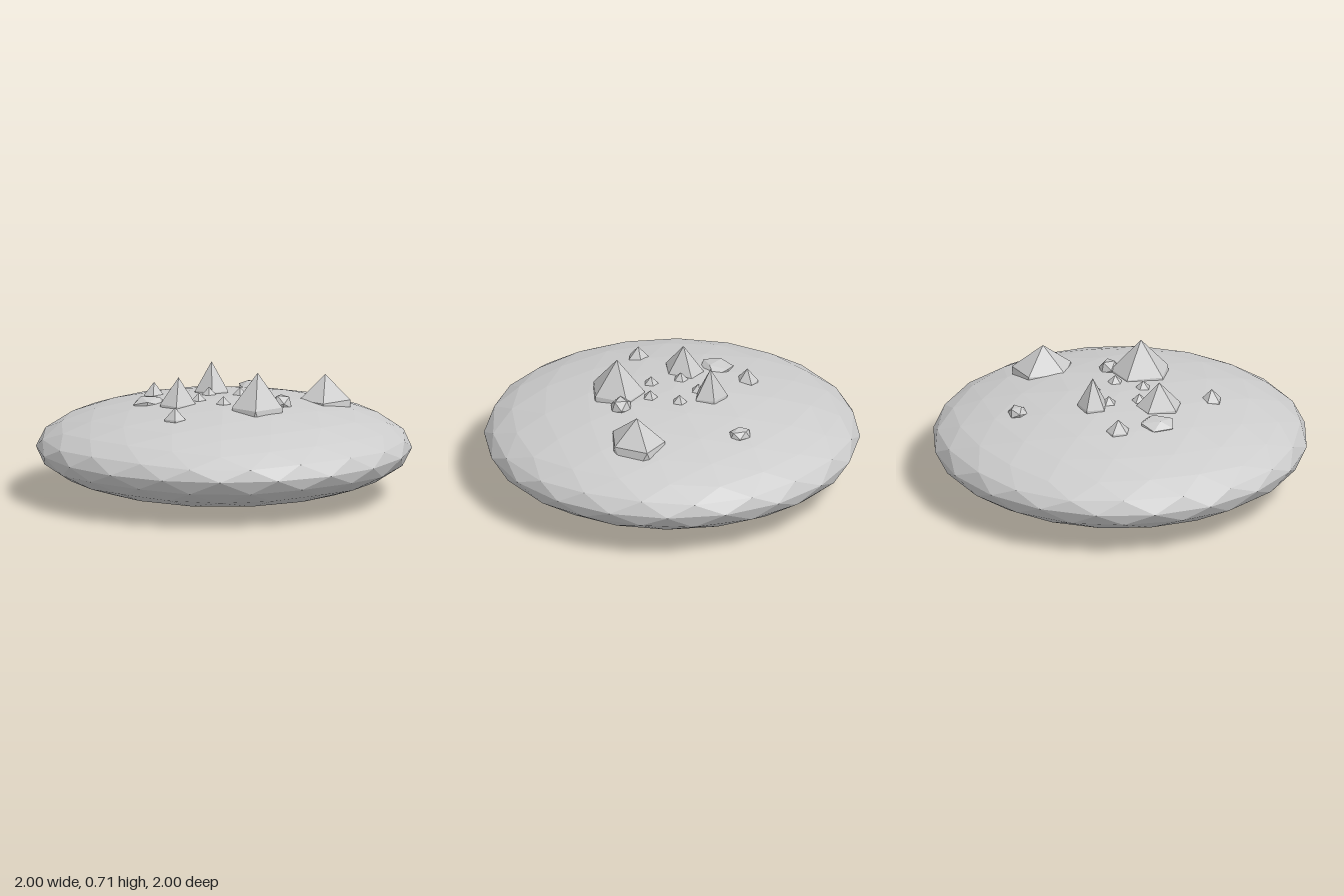
import * as THREE from 'three';

// Icosahedron with one corner straight up, optionally subdivided by midpoints
function poleIcosahedron(levels) {
  const base = new THREE.IcosahedronGeometry(1, 0);
  base.rotateZ(-Math.atan(2 / (1 + Math.sqrt(5))));
  const p = base.getAttribute('position');
  let points = [];
  for (let i = 0; i < p.count; i++) points.push(new THREE.Vector3().fromBufferAttribute(p, i));
  const mid = (a, b) => a.clone().add(b).normalize();
  for (let l = 0; l < levels; l++) {
    const next = [];
    for (let i = 0; i < points.length; i += 3) {
      const [a, b, c] = points.slice(i, i + 3);
      const ab = mid(a, b), bc = mid(b, c), ca = mid(c, a);
      next.push(a, ab, ca, ab, b, bc, ca, bc, c, ab, bc, ca);
    }
    points = next;
  }
  return new THREE.BufferGeometry().setFromPoints(points);
}

export function createModel() {
  const group = new THREE.Group();
  const stone = new THREE.MeshStandardMaterial({ color: 0xcccccc, flatShading: true });
  stone.name = 'pale grey stone';

  function add(name, geometry, center, radii, rotation = [0, 0, 0]) {
    const g = geometry.clone();
    g.rotateX(rotation[0]).rotateY(rotation[1]).rotateZ(rotation[2]);
    g.scale(...radii);
    g.translate(...center);
    g.computeVertexNormals();
    const mesh = new THREE.Mesh(g, stone);
    mesh.name = name;
    group.add(mesh);
  }

  // Flattened faceted body
  add('body', poleIcosahedron(2), [0, 0.265, 0], [1, 0.265, 1]);

  const rock = poleIcosahedron(0);

  // Pointed rocks, half buried: x, apex height, z, radius x, half height, radius z
  const spikes = [
    [0.245, 0.71, 0.16, 0.155, 0.325, 0.182],
    [0.455, 0.625, -0.33, 0.158, 0.235, 0.188],
    [-0.13, 0.685, -0.172, 0.105, 0.28, 0.09],
    [-0.195, 0.66, 0.175, 0.107, 0.25, 0.14],
    [-0.425, 0.57, -0.09, 0.06, 0.12, 0.072],
    [-0.11, 0.557, 0.475, 0.066, 0.11, 0.06],
  ];
  for (const [x, top, z, rx, h, rz] of spikes) {
    add('spikeRock', rock, [x, top - h, z], [rx, h, rz]);
  }

  // Ring of five small spikes around the centre
  for (let i = 0; i < 5; i++) {
    const a = (i / 5) * Math.PI * 2;
    add('smallSpike', rock, [0.14 * Math.cos(a), 0.495, 0.14 * Math.sin(a)], [0.044, 0.07, 0.044]);
  }

  // Blunt tipped boulders
  add('boulder', rock, [0.325, 0.515, 0.005], [0.062, 0.06, 0.058], [0.5, 0.3, 0.4]);
  add('flatBoulder', rock, [-0.375, 0.497, 0.13], [0.092, 0.045, 0.105], [0.1, 0.2, 0.5]);
  add('backBoulder', rock, [-0.05, 0.48, -0.563], [0.066, 0.04, 0.053], [0.4, 0.4, 0.3]);

  return group;
}
